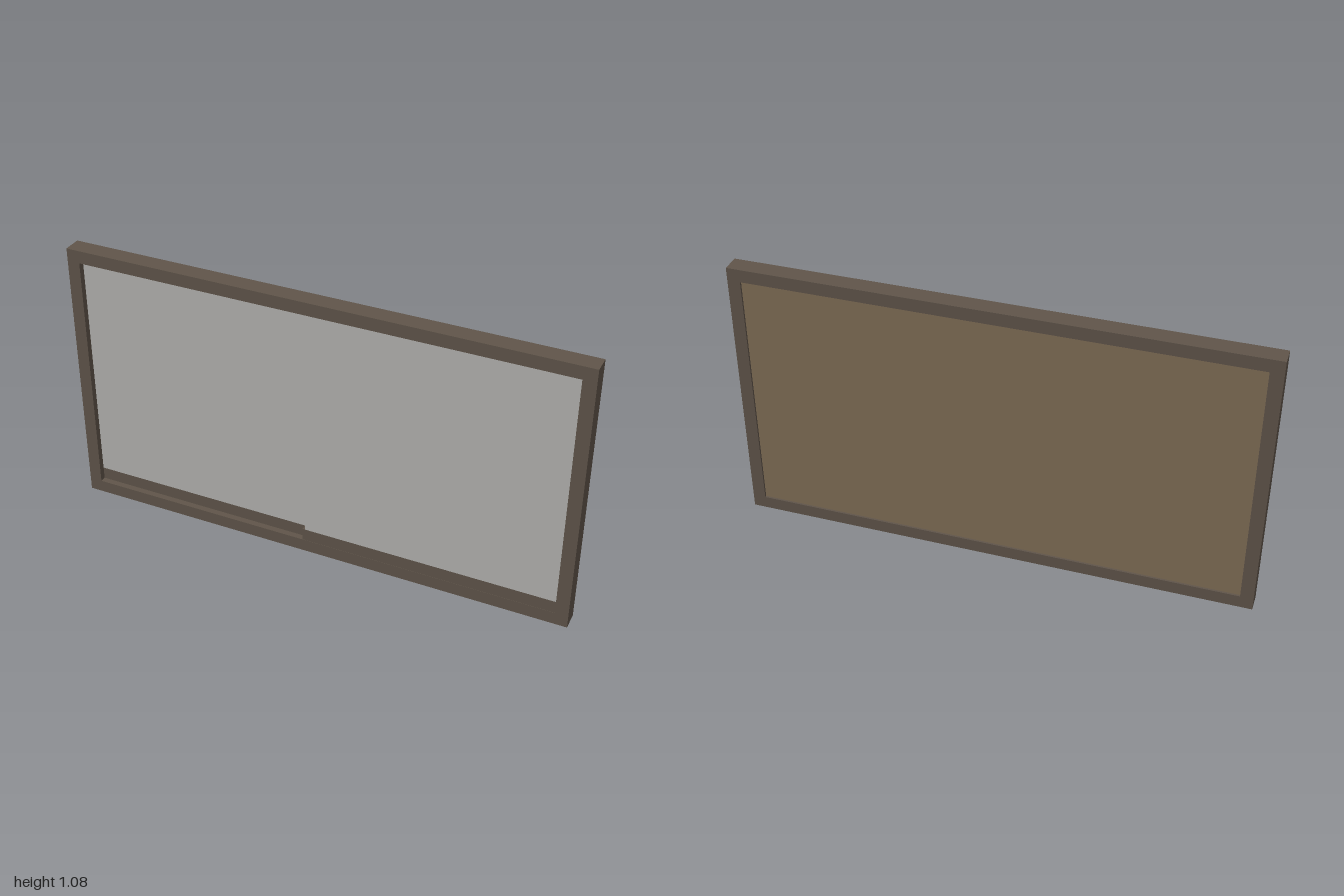
import * as THREE from 'three';

export function createModel() {
  const model = new THREE.Group();
  const mat = (name, color) => {
    const m = new THREE.MeshStandardMaterial({ color });
    m.name = name;
    return m;
  };
  const frameBrown = mat('frame brown', 0x60554a);
  const paneGrey = mat('pane grey', 0xb3b2b0);
  const backTan = mat('back board tan', 0x806e56);

  const W = 1, H = 1.08, D = 0.036; // half width, height, half depth
  const IN = 0.95, LOW = 0.05, TOP = 1.03, SILL = 0.1; // opening

  // Box given by its limits on each axis
  const box = (name, material, x0, x1, y0, y1, z0, z1) => {
    const mesh = new THREE.Mesh(new THREE.BoxGeometry(x1 - x0, y1 - y0, z1 - z0), material);
    mesh.position.set((x0 + x1) / 2, (y0 + y1) / 2, (z0 + z1) / 2);
    mesh.name = name;
    return mesh;
  };

  // Outer frame: one rectangle with a rectangular opening
  const outline = new THREE.Shape([[-W, 0], [W, 0], [W, H], [-W, H]].map(p => new THREE.Vector2(...p)));
  outline.holes.push(new THREE.Path(
    [[-IN, LOW], [-IN, TOP], [IN, TOP], [IN, LOW]].map(p => new THREE.Vector2(...p))));
  const frame = new THREE.Mesh(
    new THREE.ExtrudeGeometry(outline, { depth: 2 * D, bevelEnabled: false }), frameBrown);
  frame.position.z = -D;
  frame.name = 'outerFrame';
  model.add(frame);

  // Sliding panels: a bottom rail carrying a pane
  const panel = (name, railX0, paneX0, x1, z0, z1) => {
    const g = new THREE.Group();
    g.name = name;
    g.add(box('bottomRail', frameBrown, railX0, x1, LOW, SILL, z0, z1));
    g.add(box('pane', paneGrey, paneX0, x1, SILL, TOP, z0, z1));
    model.add(g);
  };
  panel('frontSlidingPanel', -0.05, -0.04, IN, 0.013, 0.035);
  panel('rearSlidingPanel', -IN, -IN, 0.04, -0.01, 0.012);

  // Back board set slightly into the frame
  model.add(box('backBoard', backTan, -IN, IN, LOW, TOP, -0.028, -0.012));

  return model;
}
